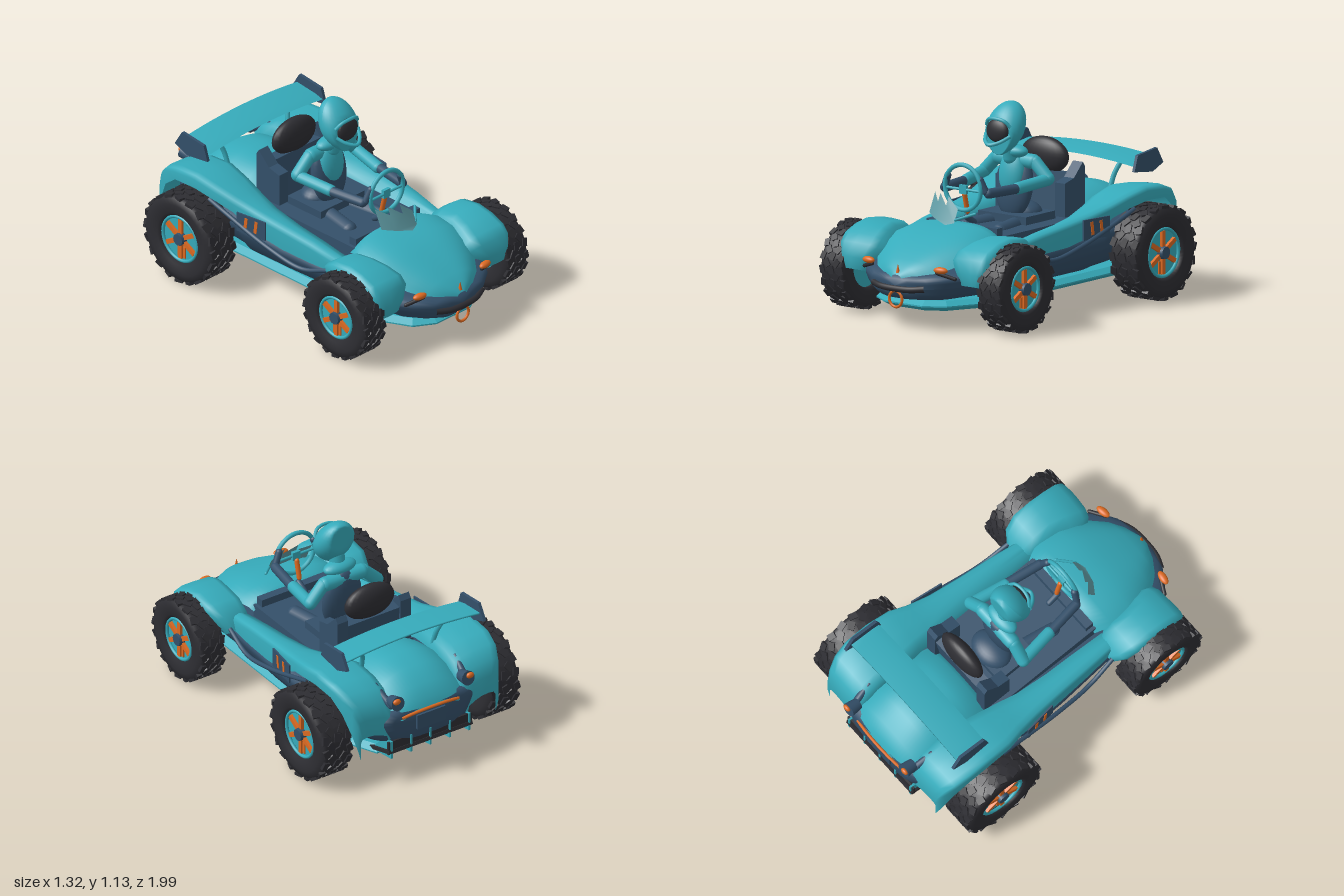
import * as THREE from 'three';
import { mergeGeometries } from 'three/addons/utils/BufferGeometryUtils.js';

const D = THREE.DoubleSide;
const mat = (name, color, side = THREE.FrontSide) => Object.assign(new THREE.MeshStandardMaterial({ color, side }), { name });
const teal = mat('teal paint', 0x36abbb, D), navy = mat('navy panel', 0x34506a, D);
const black = mat('black rubber', 0x2d2d32), orange = mat('orange trim', 0xdc6a22);
const glass = mat('tinted glass', 0x5f9ba4, D);
const V = (a) => new THREE.Vector3(...a);

export function createModel() {
  const car = new THREE.Group();
  car.name = 'buggy';
  const add = (name, geo, m, p = [0, 0, 0], r = [0, 0, 0], parent = car) => {
    const mesh = new THREE.Mesh(geo, m);
    mesh.name = name;
    mesh.position.set(...p);
    mesh.rotation.set(...r);
    parent.add(mesh);
    return mesh;
  };
  const both = (fn) => [1, -1].forEach((s) => fn(s, s > 0 ? 'left' : 'right'));
  const box = (name, size, m, p, r) => add(name, new THREE.BoxGeometry(...size), m, p, r);
  const ball = (name, size, m, p, r) => add(name, new THREE.SphereGeometry(1, 24, 16).scale(...size), m, p, r);
  const tube = (name, pts, rad, m, seg = 32) =>
    add(name, new THREE.TubeGeometry(new THREE.CatmullRomCurve3(pts.map(V)), seg, rad, 8), m);
  // straight rounded limb between two points
  const limb = (name, a, b, rad, m) => {
    const d = V(b).sub(V(a)), mesh = add(name, new THREE.CapsuleGeometry(rad, d.length(), 6, 14), m);
    mesh.position.copy(V(a)).addScaledVector(d, 0.5);
    mesh.quaternion.setFromUnitVectors(new THREE.Vector3(0, 1, 0), d.normalize());
  };
  // smooth skin through rows of points
  const loft = (name, rows, m) => {
    const n = rows[0].length, index = [], g = new THREE.BufferGeometry();
    for (let i = 0; i < rows.length - 1; i++) for (let j = 0; j < n - 1; j++) {
      const a = i * n + j, b = a + n;
      index.push(a, b, a + 1, b, b + 1, a + 1);
    }
    g.setAttribute('position', new THREE.Float32BufferAttribute(rows.flat(2), 3));
    g.setIndex(index);
    g.computeVertexNormals();
    return add(name, g, m);
  };
  // flat plate outlined in (z, y), centred on x
  const plate = (name, pts, thick, x, m) => {
    const s = new THREE.Shape(pts.map((p) => new THREE.Vector2(...p)));
    const g = new THREE.ExtrudeGeometry(s, { depth: thick, bevelEnabled: false });
    add(name, g.rotateY(-Math.PI / 2).translate(x + thick / 2, 0, 0), m);
  };

  // lower tub, narrowing downwards: [z, half width, bottom, top]
  const pow = (v) => Math.sign(v) * Math.abs(v) ** 0.6;
  loft('lowerTub', [[0.975, 0.001, 0.25, 0.251], [0.97, 0.09, 0.2, 0.29], [0.94, 0.2, 0.175, 0.31], [0.88, 0.29, 0.165, 0.33],
    [0.78, 0.37, 0.155, 0.35], [0.6, 0.42, 0.15, 0.37], [0.35, 0.43, 0.15, 0.4], [0, 0.46, 0.15, 0.42],
    [-0.3, 0.475, 0.15, 0.45], [-0.37, 0.44, 0.15, 0.45], [-0.8, 0.4, 0.17, 0.45], [-0.92, 0.33, 0.2, 0.44],
    [-0.95, 0.25, 0.24, 0.42], [-0.952, 0.001, 0.33, 0.331]].map(([z, w, b, t]) =>
    Array.from({ length: 33 }, (_, i) => {
      const a = (i / 32) * Math.PI * 2, h = pow(Math.sin(a));
      return [w * pow(Math.cos(a)) * (0.92 + 0.18 * h), (b + t) / 2 + ((t - b) / 2) * h, z];
    })), navy);

  // domed lids: [z, half width, centre height, edge height]
  const dome = (name, st, power) => loft(name, st.map(([z, w, c, e]) => Array.from({ length: 25 }, (_, i) => {
    const u = i / 12 - 1;
    return [w * u, e + (c - e) * (1 - Math.abs(u) ** power), z];
  })), teal);
  dome('hood', [[0.37, 0.28, 0.5, 0.43], [0.4, 0.295, 0.525, 0.45], [0.47, 0.325, 0.53, 0.46], [0.6, 0.335, 0.51, 0.44],
    [0.7, 0.315, 0.475, 0.4], [0.8, 0.265, 0.43, 0.35], [0.88, 0.2, 0.385, 0.32], [0.93, 0.13, 0.35, 0.3], [0.965, 0.04, 0.31, 0.28]], 3.5);
  dome('rearDeck', [[-0.36, 0.24, 0.5, 0.42], [-0.4, 0.25, 0.555, 0.45], [-0.5, 0.26, 0.59, 0.48], [-0.65, 0.27, 0.605, 0.5],
    [-0.78, 0.27, 0.585, 0.48], [-0.88, 0.26, 0.525, 0.43], [-0.935, 0.23, 0.46, 0.4], [-0.955, 0.19, 0.41, 0.38]], 2.4);

  both((s, side) => {
    // front fender arches over the wheel: [z, y, inner x, outer x]
    loft(side + 'FrontFender', [[0.825, 0.27, 0.3, 0.485], [0.838, 0.34, 0.28, 0.505], [0.815, 0.42, 0.24, 0.525], [0.77, 0.465, 0.24, 0.53],
      [0.68, 0.5, 0.26, 0.53], [0.58, 0.517, 0.28, 0.53], [0.46, 0.5, 0.28, 0.53], [0.385, 0.45, 0.28, 0.51], [0.35, 0.36, 0.3, 0.46]]
      .map(([z, y, a, b]) => {
        const l = Math.hypot(0.6 - z, 0.2 - y);
        return [[a, 0.08], [a + 0.03, 0.025], [a + 0.07, 0.006], [(a + b) / 2 + 0.03, 0], [b - 0.04, 0], [b - 0.01, 0.008], [b, 0.04]]
          .map(([x, d]) => [s * x, y + (d * (0.2 - y)) / l, z + (d * (0.6 - z)) / l]);
      }), teal);
    // side pod swelling into the rear fender: [z, inner x, outer x, top, outer bottom]
    loft(side + 'RearFenderAndPod', [[0.41, 0.28, 0.41, 0.44, 0.36], [0.2, 0.28, 0.43, 0.475, 0.36], [0, 0.28, 0.445, 0.5, 0.37],
      [-0.2, 0.27, 0.465, 0.53, 0.41], [-0.34, 0.25, 0.49, 0.565, 0.49], [-0.45, 0.24, 0.52, 0.605, 0.53], [-0.6, 0.22, 0.53, 0.633, 0.555],
      [-0.75, 0.22, 0.53, 0.622, 0.55], [-0.84, 0.22, 0.515, 0.59, 0.48], [-0.9, 0.23, 0.49, 0.53, 0.36],
      [-0.93, 0.24, 0.47, 0.45, 0.27], [-0.93, 0.26, 0.45, 0.34, 0.2]]
      .map(([z, a, b, t, o]) => [[a, t - 0.1], [a + 0.015, t - 0.04], [a + 0.06, t - 0.018], [(a + b) / 2, t - 0.006], [b - 0.045, t],
        [b - 0.012, t - 0.006], [b, t - 0.026], [b, o]].map(([x, y]) => [s * x, y, z])), teal);
    // side pipe and side panel with two stripes
    tube(side + 'SidePipe', [[0.445, 0.38, 0.36], [0.465, 0.325, 0.17], [0.485, 0.37, -0.07], [0.505, 0.48, -0.4], [0.515, 0.52, -0.5]]
      .map(([x, y, z]) => [s * x, y, z]), 0.013, navy);
    const panel = add(side + 'SidePanel', new THREE.BoxGeometry(0.009, 0.115, 0.2), navy, [s * 0.484, 0.453, -0.2], [0, -s * 0.13, 0]);
    [0.035, -0.035].forEach((z) => add('panelStripe', new THREE.BoxGeometry(0.004, 0.075, 0.02), orange, [s * 0.006, 0.005, z], [0.12, 0, 0], panel));
    // nose lights and slits
    ball(side + 'Headlight', [0.044, 0.019, 0.022], orange, [s * 0.255, 0.353, 0.89], [0, s * 0.15, 0]);
    limb(side + 'NoseSlit', [s * 0.23, 0.335, 0.89], [s * 0.32, 0.305, 0.845], 0.011, black);
    // tail lamps
    add(side + 'TailLamp', new THREE.CylinderGeometry(0.042, 0.034, 0.07, 20), navy, [s * 0.235, 0.515, -0.945], [-Math.PI / 2 + 0.2, 0, 0]);
    ball(side + 'TailLens', [0.024, 0.018, 0.014], orange, [s * 0.245, 0.54, -0.982]);
    limb(side + 'TailLampArm', [s * 0.25, 0.49, -0.93], [s * 0.27, 0.56, -0.8], 0.02, navy);
    // wing end plates and struts
    plate(side + 'WingEndPlate', [[-0.59, 0.8], [-0.76, 0.82], [-0.815, 0.73], [-0.72, 0.69], [-0.56, 0.71]], 0.018, s * 0.458, navy);
    tube(side + 'WingStrut', [[s * 0.24, 0.56, -0.62], [s * 0.25, 0.66, -0.65], [s * 0.29, 0.765, -0.69]], 0.014, teal, 12);
    // cockpit seat bolsters and legs
    plate(side + 'SeatBolster', [[-0.22, 0.48], [-0.22, 0.67], [-0.3, 0.69], [-0.38, 0.77], [-0.4, 0.74], [-0.4, 0.48]], 0.07, s * 0.21, navy);
    limb(side + 'Thigh', [s * 0.08, 0.46, -0.05], [s * 0.12, 0.45, 0.2], 0.045, navy);
  });

  // floor plate with sloping edges
  const half = [[0.12, 0.86], [0.22, 0.8], [0.31, 0.62], [0.31, -0.66], [0.25, -0.79]];
  const outline = [...half, ...half.map(([x, z]) => [-x, z]).reverse()].map((p) => new THREE.Vector2(...p));
  add('floorPlate', new THREE.ExtrudeGeometry(new THREE.Shape(outline), { depth: 0.008, bevelThickness: 0.024, bevelSize: 0.04, bevelSegments: 1 })
    .rotateX(Math.PI / 2), teal, [0, 0.14, 0]);

  // nose details
  tube('frontBumper', [[-0.18, 0.245, 0.94], [-0.1, 0.237, 0.972], [0, 0.235, 0.98], [0.1, 0.237, 0.972], [0.18, 0.245, 0.94]], 0.018, black);
  add('towRing', new THREE.TorusGeometry(0.045, 0.008, 8, 28), orange, [0, 0.175, 0.97]);
  add('noseMarker', new THREE.ConeGeometry(0.012, 0.05, 8), orange, [0, 0.345, 0.95]);

  // rear details
  tube('rearStripe', [[-0.19, 0.395, -0.95], [-0.1, 0.41, -0.962], [0, 0.415, -0.966], [0.1, 0.41, -0.962], [0.19, 0.395, -0.95]], 0.009, orange);
  box('rearPanel', [0.19, 0.09, 0.015], navy, [0, 0.34, -0.956]);
  box('diffuser', [0.56, 0.02, 0.2], black, [0, 0.175, -0.86], [0.3, 0, 0]);
  box('diffuserBack', [0.56, 0.08, 0.012], black, [0, 0.225, -0.942]);
  for (let i = -2; i <= 2; i++) plate('diffuserFin', [[-0.76, 0.13], [-0.955, 0.16], [-0.955, 0.27], [-0.88, 0.26]], 0.012, i * 0.13, teal);

  // rear wing: arched across, tilted up to the back
  loft('rearWing', Array.from({ length: 17 }, (_, i) => {
    const x = (i / 8 - 1) * 0.455, y = -0.03 * (x / 0.455) ** 2;
    return [[0.765, -0.575], [0.78, -0.63], [0.797, -0.775], [0.785, -0.775], [0.757, -0.63], [0.765, -0.575]].map(([h, z]) => [x, h + y, z]);
  }), teal);

  // cockpit
  box('cockpitFloor', [0.54, 0.1, 0.78], navy, [0, 0.415, 0]);
  box('dashboard', [0.5, 0.05, 0.05], navy, [0, 0.485, 0.36]);
  box('seatCushion', [0.34, 0.06, 0.26], navy, [0, 0.48, -0.1]);
  box('seatBack', [0.36, 0.25, 0.08], navy, [0, 0.58, -0.34], [-0.12, 0, 0]);
  ball('headrest', [0.163, 0.105, 0.058], black, [0, 0.785, -0.352]);

  // jagged windscreen, wrapped back at the sides
  const jag = [[-0.15, 0.07], [-0.15, 0.19], [-0.085, 0.13], [-0.085, 0.18], [-0.01, 0.11], [-0.01, 0.165], [0.07, 0.1], [0.07, 0.02], [0.02, 0], [-0.08, 0.035]];
  const screen = new THREE.ShapeGeometry(new THREE.Shape(jag.map((p) => new THREE.Vector2(...p)))), sp = screen.attributes.position;
  for (let i = 0; i < sp.count; i++) sp.setZ(i, -2.2 * sp.getX(i) ** 2);
  screen.computeVertexNormals();
  add('windscreen', screen, glass, [0, 0.53, 0.56], [-0.45, 0, 0]);
  limb('windscreenStay', [0.07, 0.56, 0.53], [0.145, 0.59, 0.45], 0.008, teal);

  // steering wheel and column
  add('steeringWheel', new THREE.TorusGeometry(0.127, 0.013, 10, 40), teal, [0, 0.712, 0.375]);
  box('steeringHub', [0.05, 0.05, 0.02], teal, [0, 0.7, 0.37]);
  limb('steeringSpoke', [-0.12, 0.7, 0.372], [0.12, 0.7, 0.372], 0.008, teal);
  limb('steeringColumn', [0, 0.67, 0.36], [0, 0.57, 0.335], 0.014, orange);
  limb('columnBase', [0, 0.54, 0.34], [0, 0.505, 0.28], 0.018, navy);

  // driver
  ball('torso', [0.125, 0.19, 0.06], navy, [0, 0.66, -0.08], [-0.15, 0, 0]);
  ball('chest', [0.085, 0.13, 0.05], teal, [0, 0.73, -0.06], [-0.15, 0, 0]);
  ball('hips', [0.13, 0.07, 0.1], navy, [0, 0.5, -0.14]);
  limb('shoulders', [-0.12, 0.8, -0.095], [0.12, 0.8, -0.095], 0.043, teal);
  ball('collar', [0.105, 0.04, 0.055], teal, [0, 0.855, -0.06]);
  limb('neck', [0, 0.82, -0.05], [0, 0.92, -0.03], 0.045, teal);
  both((s, side) => {
    limb(side + 'UpperArm', [s * 0.135, 0.8, -0.095], [s * 0.222, 0.715, -0.1], 0.037, teal);
    limb(side + 'Elbow', [s * 0.222, 0.71, -0.1], [s * 0.185, 0.69, 0.12], 0.034, teal);
    limb(side + 'Forearm', [s * 0.185, 0.69, 0.14], [s * 0.155, 0.69, 0.34], 0.028, navy);
    limb(side + 'Glove', [s * 0.145, 0.7, 0.355], [s * 0.115, 0.765, 0.365], 0.02, navy);
  });
  // helmet: sphere leaning back, with a narrow forward chin and flattened front and rear
  const helmet = new THREE.SphereGeometry(1, 28, 20), hp = helmet.attributes.position;
  for (let i = 0; i < hp.count; i++) {
    const x = hp.getX(i), y = hp.getY(i), z = hp.getZ(i);
    hp.setXYZ(i, x * 0.117 * (y < 0 ? 1 - 0.3 * y * y : 1), 0.99 + 0.145 * y, THREE.MathUtils.clamp(0.1 * z - 0.055 * y, -0.085, 0.067));
  }
  helmet.computeVertexNormals();
  add('helmet', helmet, teal);
  ball('visor', [0.076, 0.066, 0.03], black, [0, 0.985, 0.068], [-0.1, 0, 0]);
  tube('visorBrow', [[-0.085, 1.01, 0.06], [-0.055, 1.045, 0.08], [0, 1.055, 0.088], [0.055, 1.045, 0.08], [0.085, 1.01, 0.06]], 0.01, teal, 20);
  tube('chinGuard', [[-0.085, 0.96, 0.065], [-0.05, 0.93, 0.115], [0, 0.915, 0.145], [0.05, 0.93, 0.115], [0.085, 0.96, 0.065]], 0.011, teal, 20);

  // wheels, built with the axle along x and the outer face at +x
  const wheel = (name, R, W, rim, pos, s) => {
    const g = new THREE.Group(), axle = [0, 0, -Math.PI / 2], h = W / 2;
    g.name = name;
    g.position.set(...pos);
    g.rotation.y = s > 0 ? 0 : Math.PI;
    car.add(g);
    const prof = [[rim, -h * 0.75], [rim + 0.02, -h * 0.95], [R * 0.8, -h], [R * 0.94, -h * 0.92], [R * 0.97, -h * 0.7],
      [R * 0.97, h * 0.7], [R * 0.94, h * 0.92], [R * 0.8, h], [rim + 0.02, h * 0.95], [rim, h * 0.75], [rim, -h * 0.75]];
    add('tyre', new THREE.LatheGeometry(prof.map((p) => new THREE.Vector2(...p)), 48), black, [0, 0, 0], axle, g);
    const n = 20, blocks = [];
    for (let i = 0; i < n; i++) for (let k = -2; k <= 2; k++) {
      const b = new THREE.BoxGeometry(W * 0.18, 0.018, R * 0.18);
      b.rotateY(k % 2 ? 0.6 * k : 0.25 * (i % 2 ? 1 : -1)).translate(k * W * 0.19, R - 0.009, 0);
      blocks.push(b.rotateX(((i + (k % 2 ? 0.5 : 0)) / n) * Math.PI * 2));
    }
    add('treadBlocks', mergeGeometries(blocks), black, [0, 0, 0], [0, 0, 0], g);
    add('rimDish', new THREE.CylinderGeometry(rim, rim, W * 0.6, 36), teal, [0, 0, 0], axle, g);
    add('rimLip', new THREE.TorusGeometry(rim - 0.006, 0.01, 8, 40), teal, [h * 0.75, 0, 0], [0, Math.PI / 2, 0], g);
    for (let i = 0; i < 6; i++) {
      const spoke = new THREE.BoxGeometry(0.02, rim * 0.75, 0.026).translate(h * 0.6 + 0.008, rim * 0.5, 0);
      add('spoke', spoke, orange, [0, 0, 0], [(i * Math.PI) / 3, 0, 0], g);
    }
    add('brakeCaliper', new THREE.BoxGeometry(0.015, rim * 0.5, 0.06), orange, [h * 0.6, -rim * 0.6, 0], [0, 0, 0], g);
    add('hub', new THREE.CylinderGeometry(0.035, 0.04, 0.05, 12), navy, [h * 0.7, 0, 0], axle, g);
  };
  both((s, side) => {
    wheel(side + 'FrontWheel', 0.246, 0.17, 0.126, [s * 0.557, 0.25, 0.602], s);
    wheel(side + 'RearWheel', 0.268, 0.2, 0.14, [s * 0.56, 0.272, -0.605], s);
  });
  limb('frontAxle', [-0.5, 0.25, 0.602], [0.5, 0.25, 0.602], 0.015, navy);
  limb('rearAxle', [-0.5, 0.272, -0.605], [0.5, 0.272, -0.605], 0.015, navy);
  return car;
}
